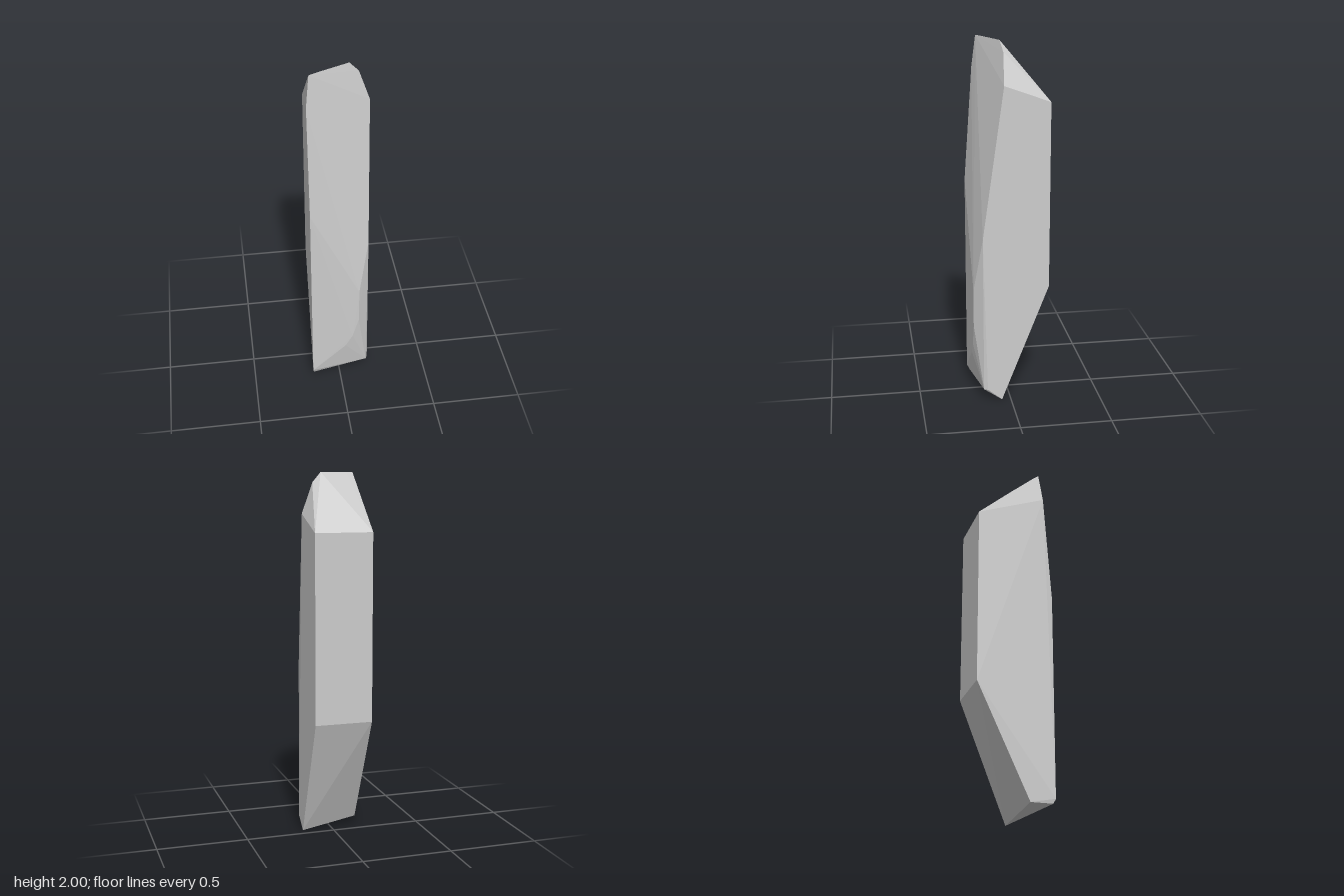
import * as THREE from 'three';
import { ConvexGeometry } from 'three/addons/geometries/ConvexGeometry.js';

export function createModel() {
  const group = new THREE.Group();
  group.name = 'stoneShard';

  const corners = [
    // upright back face
    [-0.15, 1.69, -0.21], [0.168, 1.69, -0.21], [0.168, 0.67, -0.21], [-0.15, 0.67, -0.21],
    // top ridge, falling towards +x
    [-0.153, 2, 0.145], [-0.11, 2, 0.122], [0.06, 2, 0.045], [0.11, 1.945, 0.033], [0.168, 1.78, 0.037],
    // front edge on the -x side
    [-0.17, 1.83, 0.165], [-0.165, 1.2, 0.21], [-0.162, 0.07, 0.21],
    // bevelled front edge on the +x side
    [0.158, 0.95, 0.152], [0.105, 0.64, 0.199], [0.105, 0.43, 0.199], [0.07, 0.31, 0.201], [0.03, 0.24, 0.202],
    [0.158, 0.065, 0.15], [0.168, 0.065, 0.13],
    // slanted foot
    [0.168, 0, 0.05], [-0.15, 0.045, 0.078], [-0.157, 0.045, 0.198],
  ].map((p) => new THREE.Vector3(...p));

  const material = new THREE.MeshStandardMaterial({ color: 0xcccccc, flatShading: true });
  const shard = new THREE.Mesh(new ConvexGeometry(corners), material);
  shard.name = 'shard';
  group.add(shard);
  return group;
}
